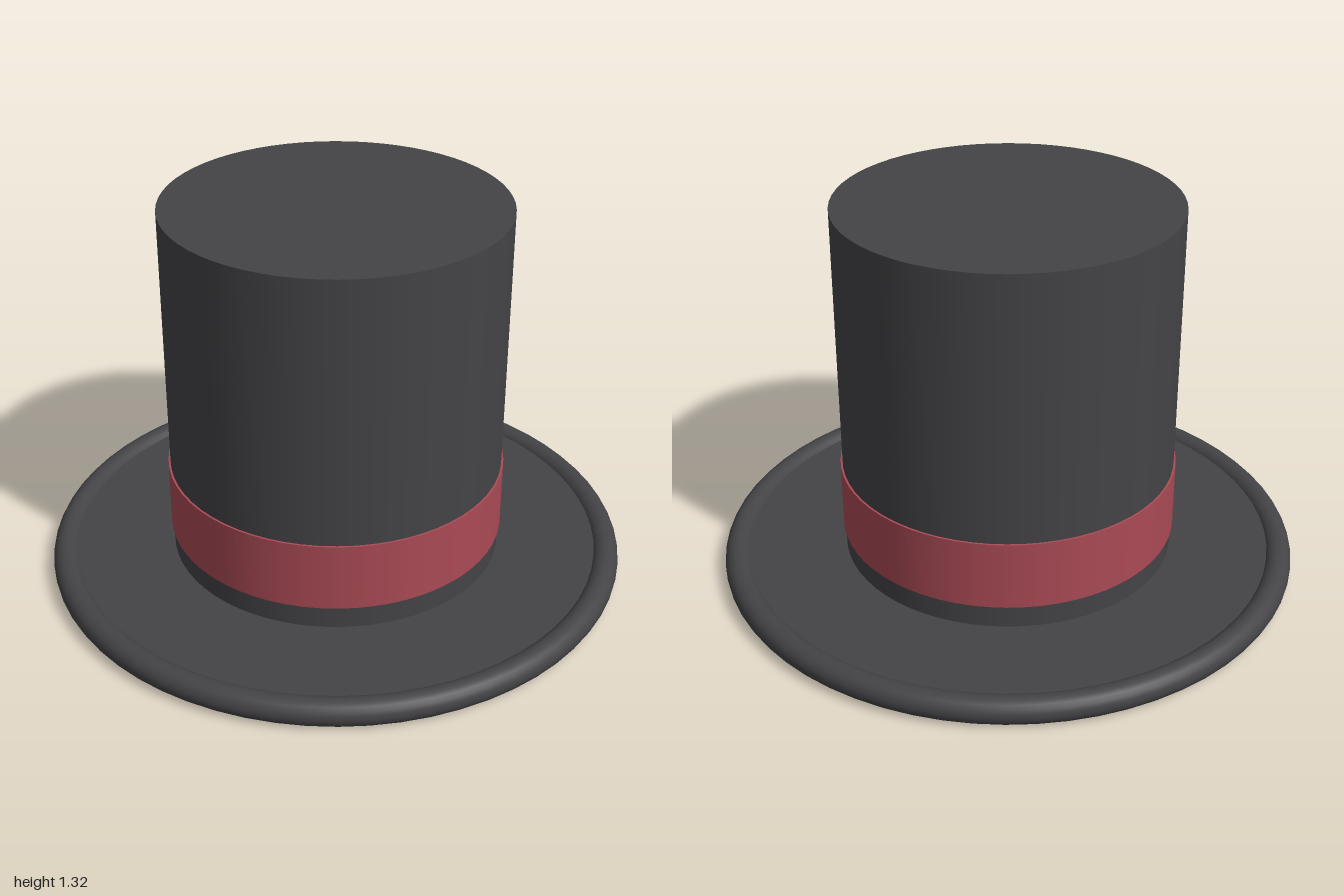
import * as THREE from 'three';

const SEGMENTS = 64;

export function createModel() {
  const hat = new THREE.Group();
  hat.name = 'topHat';

  const felt = new THREE.MeshStandardMaterial({ color: 0x444447 });
  const ribbon = new THREE.MeshStandardMaterial({ color: 0xaa4a55 });

  const add = (name, geometry, material, y) => {
    const mesh = new THREE.Mesh(geometry, material);
    mesh.name = name;
    mesh.position.y = y;
    hat.add(mesh);
    return mesh;
  };

  // Upright cylinder between two heights
  const drum = (name, radius, bottom, top, material) =>
    add(name, new THREE.CylinderGeometry(radius, radius, top - bottom, SEGMENTS), material, (bottom + top) / 2);

  // Flat brim with a rolled edge around it
  drum('brim', 0.95, 0.024, 0.07, felt);
  const edge = new THREE.TorusGeometry(0.954, 0.046, 20, SEGMENTS);
  edge.rotateX(-Math.PI / 2);
  add('brimEdge', edge, felt, 0.046);

  // Tall crown, set into the brim
  drum('crown', 0.574, 0.04, 1.316, felt);

  // Ribbon band just proud of the crown
  drum('band', 0.581, 0.15, 0.39, ribbon);

  return hat;
}
